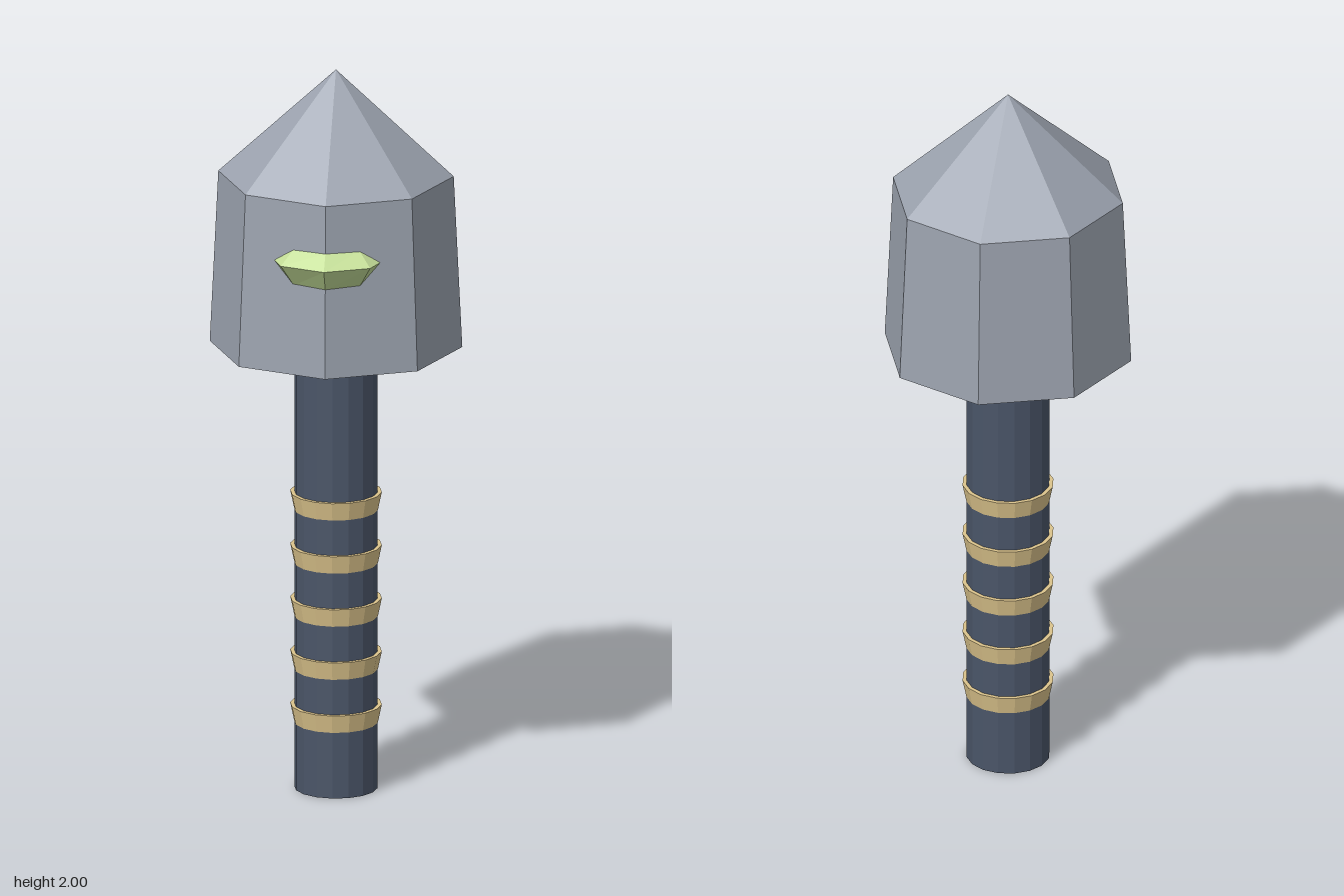
import * as THREE from 'three';

function material(name, color) {
  const m = new THREE.MeshStandardMaterial({ color, flatShading: true });
  m.name = name;
  return m;
}

// Faceted gem that wraps around the front corner of the head
function gemGeometry() {
  const xs = [-1, 0, 1];
  const top = xs.map(s => [s * 0.088, 1.58, s ? 0.265 : 0.304]);
  const ridge = xs.map(s => [s * 0.12, 1.543, s ? 0.305 : 0.354]);
  const bottom = xs.map(s => [s * 0.088, 1.48, s ? 0.269 : 0.308]);
  const tips = [[-0.142, 1.543, 0.248], [0.142, 1.543, 0.248]];
  const back = [0, 1.54, 0.24];
  const pos = [];
  const tri = (a, b, c) => pos.push(...a, ...b, ...c);
  for (let i = 0; i < 2; i++) {
    tri(ridge[i], ridge[i + 1], top[i + 1]);
    tri(ridge[i], top[i + 1], top[i]);
    tri(bottom[i], bottom[i + 1], ridge[i + 1]);
    tri(bottom[i], ridge[i + 1], ridge[i]);
    tri(back, top[i], top[i + 1]);
    tri(back, bottom[i + 1], bottom[i]);
  }
  // pointed ends
  tri(tips[0], ridge[0], top[0]);
  tri(tips[0], bottom[0], ridge[0]);
  tri(tips[0], top[0], back);
  tri(tips[0], back, bottom[0]);
  tri(tips[1], top[2], ridge[2]);
  tri(tips[1], ridge[2], bottom[2]);
  tri(tips[1], back, top[2]);
  tri(tips[1], bottom[2], back);
  const g = new THREE.BufferGeometry();
  g.setAttribute('position', new THREE.Float32BufferAttribute(pos, 3));
  g.computeVertexNormals();
  return g;
}

export function createModel() {
  const model = new THREE.Group();
  const axisZ = -0.018;
  const stone = material('stone grey', 0x9ca3af);
  const slate = material('slate blue', 0x4a5568);
  const tan = material('tan wrap', 0xdcc48c);
  const green = material('pale green', 0xc4de98);

  const add = (name, geometry, mat, y = 0, z = axisZ) => {
    const mesh = new THREE.Mesh(geometry, mat);
    mesh.name = name;
    mesh.position.set(0, y, z);
    model.add(mesh);
  };

  // Handle
  add('handle', new THREE.CylinderGeometry(0.112, 0.112, 1.2, 16), slate, 0.6);

  // Grip bands, flaring towards the top
  for (let i = 0; i < 5; i++) {
    add('gripBand' + (i + 1), new THREE.CylinderGeometry(0.123, 0.1125, 0.05, 16), tan, 0.208 + i * 0.148);
  }

  // Eight-sided head with a corner facing forward
  const profile = [[0, 1.175], [0.112, 1.175], [0.339, 1.235], [0.316, 1.71], [0, 2]]
    .map(([r, y]) => new THREE.Vector2(r, y));
  add('head', new THREE.LatheGeometry(profile, 8), stone);

  add('gem', gemGeometry(), green, 0, 0);
  return model;
}
